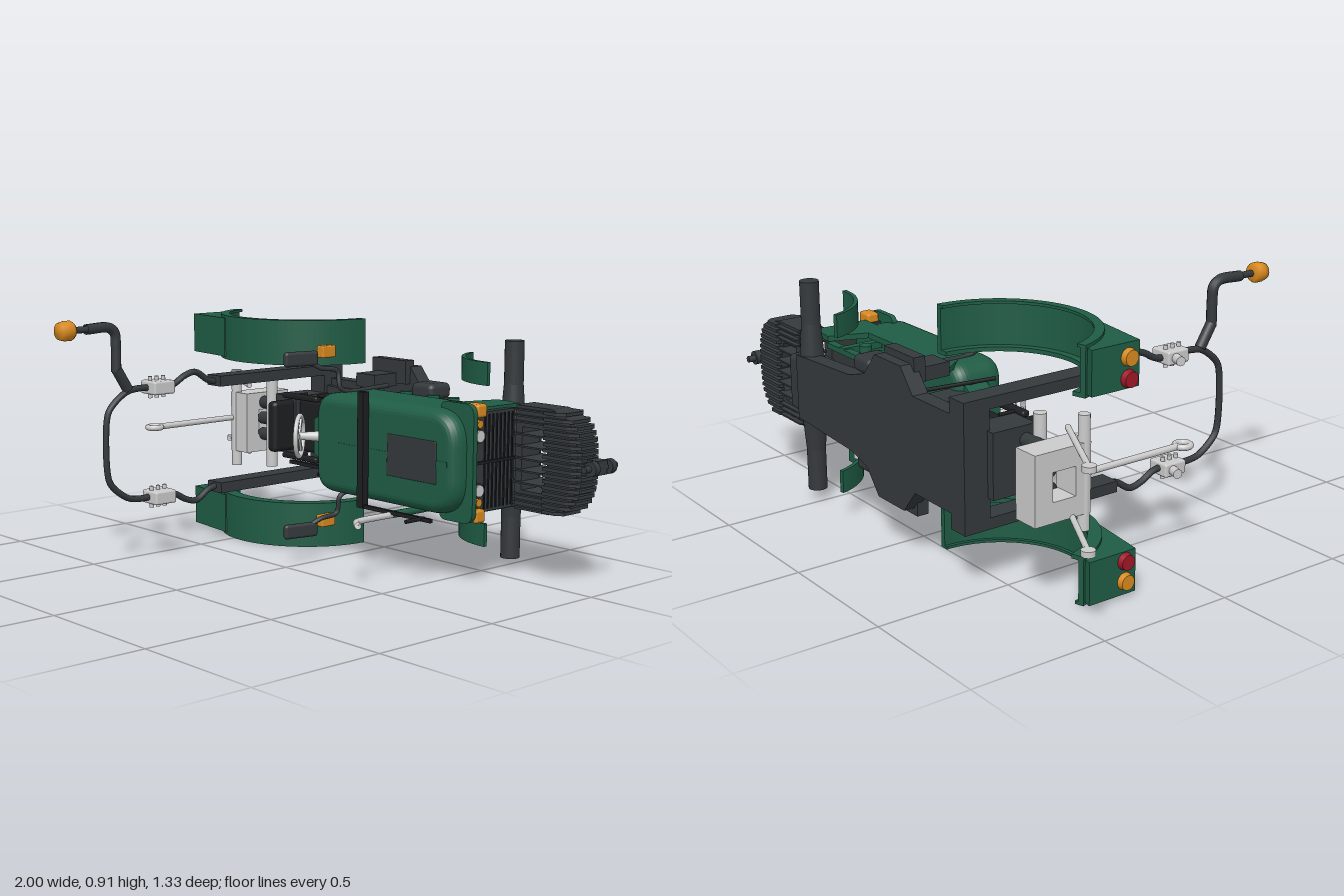
import * as THREE from 'three';
import { RoundedBoxGeometry } from 'three/addons/geometries/RoundedBoxGeometry.js';

const GREEN = 0x1f5c45, DARK = 0x34393c, BLACK = 0x1c1e20, GREY = 0xcccccc, AMBER = 0xd98a1e, RED = 0xa01828;
const MID = 0.435; // lateral centre line (the machine's width runs along y)
const V = (a) => new THREE.Vector3(...a);

export function createModel() {
  const root = new THREE.Group();
  const mats = {};
  const mat = (c) => (mats[c] ??= new THREE.MeshStandardMaterial({ color: c, side: THREE.DoubleSide }));
  const add = (name, color, geo) => {
    const m = new THREE.Mesh(geo, mat(color));
    m.name = name;
    root.add(m);
    return m;
  };
  const box = (name, color, x0, x1, y0, y1, z0, z1, r = 0) => {
    const s = [x1 - x0, y1 - y0, z1 - z0];
    const m = add(name, color, r ? new RoundedBoxGeometry(...s, 2, r) : new THREE.BoxGeometry(...s));
    m.position.set((x0 + x1) / 2, (y0 + y1) / 2, (z0 + z1) / 2);
    return m;
  };
  // cylinder between two points
  const rod = (name, color, a, b, r, r2 = r) => {
    const p = V(a), q = V(b), d = q.clone().sub(p);
    const m = add(name, color, new THREE.CylinderGeometry(r2, r, d.length(), 20));
    m.position.copy(p).add(q).multiplyScalar(0.5);
    m.quaternion.setFromUnitVectors(new THREE.Vector3(0, 1, 0), d.normalize());
    return m;
  };
  const tube = (name, color, pts, r, n = 48) =>
    add(name, color, new THREE.TubeGeometry(new THREE.CatmullRomCurve3(pts.map(V), false, 'centripetal'), n, r, 10));
  const poly = (pts) => new THREE.Shape(pts.map((p) => new THREE.Vector2(...p)));
  const ext = (shape, depth, o = {}) =>
    new THREE.ExtrudeGeometry(shape, { depth, bevelEnabled: false, curveSegments: 24, ...o });
  // plate outlined in x/y, thick along z
  const plate = (name, color, shape, z0, z1) => add(name, color, ext(shape, z1 - z0).translate(0, 0, z0));
  // profile outlined in x/z, thick along y
  const side = (name, color, shape, y0, y1) =>
    add(name, color, ext(shape, y1 - y0).rotateX(Math.PI / 2).translate(0, y1, 0));
  const arc = (cx, cz, r0, r1, a0, a1) => {
    const s = new THREE.Shape();
    s.absarc(cx, cz, r1, a0, a1, false);
    s.absarc(cx, cz, r0, a1, a0, true);
    return s;
  };
  const round = (x0, x1, y0, y1, r, rf) => {
    const s = new THREE.Shape();
    s.moveTo(x0 + r, y0).lineTo(x1 - rf, y0).quadraticCurveTo(x1, y0, x1, y0 + rf);
    s.lineTo(x1, y1 - rf).quadraticCurveTo(x1, y1, x1 - rf, y1).lineTo(x0 + r, y1);
    s.quadraticCurveTo(x0, y1, x0, y1 - r).lineTo(x0, y0 + r).quadraticCurveTo(x0, y0, x0 + r, y0);
    return s;
  };
  const both = (f) => [1, -1].forEach(f);
  // span on one side, measured outward from the centre line
  const span = (s, a, b) => (s > 0 ? [MID + a, MID + b] : [MID - b, MID - a]);

  // chassis tray and cross plate
  const half = [[0.57, 0.12], [0.2, 0.14], [0.1, 0.17], [0.03, 0.255], [-0.13, 0.255], [-0.2, 0.17], [-0.49, 0.17]];
  plate('chassis', DARK, poly([...half.map(([x, w]) => [x, MID - w]), ...half.reverse().map(([x, w]) => [x, MID + w])]), -0.66, -0.6);
  plate('chassisUpper', DARK, poly([[-0.45, 0.29], [0.54, 0.33], [0.54, 0.54], [-0.45, 0.58]]), -0.6, -0.575);
  box('rearCrossPlate', DARK, -0.49, -0.41, 0.215, 0.655, -0.66, -0.56);
  box('transmission', DARK, -0.42, -0.25, 0.33, 0.54, -0.58, -0.46, 0.01);
  box('rearGearbox', DARK, -0.52, -0.4, 0.32, 0.55, -0.57, -0.4);
  both((s) => {
    box('footPlate', DARK, -0.15, 0.03, ...span(s, 0.19, 0.28), -0.62, -0.575);
    box('step', DARK, 0.1, 0.21, ...span(s, 0.15, 0.21), -0.64, -0.53, 0.02);
    box('controlBox', DARK, -0.12, -0.02, ...span(s, 0.18, 0.23), -0.58, -0.46);
    rod('pedal', BLACK, [-0.12, MID + s * 0.15, -0.58], [-0.16, MID + s * 0.15, -0.3], 0.007);
  });

  // seat and side lever
  box('seat', BLACK, -0.41, -0.24, 0.33, 0.54, -0.46, -0.42, 0.018);
  box('seatBack', BLACK, -0.46, -0.41, 0.335, 0.535, -0.45, -0.3, 0.018);
  box('sideLever', BLACK, -0.42, -0.235, 0.283, 0.297, -0.405, -0.385);
  both((s) => {
    box('armrest', BLACK, -0.45, -0.25, ...span(s, 0.108, 0.13), -0.4, -0.37, 0.008);
    for (const x of [-0.4, -0.28]) rod('armrestPost', BLACK, [x, MID + s * 0.12, -0.46], [x, MID + s * 0.12, -0.38], 0.006);
  });

  // front axle
  rod('frontAxle', DARK, [0.537, 0.04, -0.612], [0.537, 0.83, -0.612], 0.035);
  both((s) => rod('axleFlare', DARK, [0.537, MID + s * 0.1, -0.612], [0.537, MID + s * 0.24, -0.612], 0.046, 0.035));
  box('axleHousing', DARK, 0.48, 0.65, 0.33, 0.54, -0.65, -0.54, 0.02);

  // nose weights: blunt D-shaped frame with slats and outer ribs
  const noseX = (d) => 0.75 + 0.185 * Math.cbrt(Math.max(0, 1 - Math.abs(d / 0.188) ** 3));
  const rim = [[0.64, 0.25]];
  for (let i = -12; i <= 12; i++) rim.push([noseX(i * 0.0154) - 0.02, MID + i * 0.0154]);
  rim.push([0.64, 0.62]);
  const D = poly(rim);
  const slot = new THREE.Path();
  slot.moveTo(0.67, 0.32).lineTo(0.67, 0.545).lineTo(0.76, 0.545);
  slot.quadraticCurveTo(0.81, MID, 0.76, 0.32);
  D.holes.push(slot);
  plate('noseWeightFrame', DARK, D, -0.605, -0.51);
  for (let i = -8; i <= 8; i++) {
    const d = i * 0.0215, y = MID + d, x1 = noseX(d);
    if (Math.abs(i) > 5 || i % 2 === 0) box('noseSlat', DARK, 0.63, 0.78, y - 0.003, y + 0.003, -0.625, -0.495);
    side('noseRib', DARK, poly([[0.78, -0.625], [x1 - 0.02, -0.625], [x1, -0.6], [x1, -0.51], [x1 - 0.03, -0.49], [0.78, -0.49]]), y - 0.006, y + 0.006);
  }
  box('noseHitchArm', DARK, 0.92, 0.98, 0.41, 0.46, -0.59, -0.54);
  rod('noseHitchPin', DARK, [0.968, MID, -0.65], [0.968, MID, -0.48], 0.012);
  for (const z of [-0.61, -0.52]) rod('noseHitchLug', DARK, [0.972, MID, z - 0.012], [0.972, MID, z + 0.012], 0.026);

  // bonnet
  const bev = { bevelEnabled: true, bevelThickness: 0.05, bevelSize: 0.04, bevelOffset: -0.04, bevelSegments: 6 };
  const cap = ext(round(-0.08, 0.635, 0.25, 0.62, 0.09, 0.13), 0.09, bev);
  add('bonnet', GREEN, cap.translate(0, 0, -0.345));
  box('bonnetPanel', DARK, 0.31, 0.55, 0.36, 0.51, -0.215, -0.201, 0.004);
  box('bonnetRidge', GREEN, 0.05, 0.6, 0.425, 0.445, -0.22, -0.203);
  plate('bonnetBrow', GREEN, round(0.51, 0.665, 0.227, 0.644, 0.03, 0.045), -0.285, -0.265);
  plate('dashboard', GREEN, poly([[-0.16, 0.37], [-0.16, 0.5], [-0.06, 0.56], [-0.06, 0.31]]), -0.37, -0.28);
  box('dashColumn', DARK, -0.13, -0.02, 0.34, 0.53, -0.6, -0.36);
  box('grille', DARK, 0.59, 0.642, 0.26, 0.61, -0.5, -0.285);
  for (let i = 0; i < 8; i++) box('grilleBar', BLACK, 0.64, 0.646, 0.27, 0.6, -0.49 + i * 0.02, -0.484 + i * 0.02);
  box('grilleSpine', BLACK, 0.64, 0.65, 0.43, 0.44, -0.5, -0.3);

  // bonnet sides, lamps and under-bonnet fittings
  both((s) => {
    const Y = (d) => MID + s * d;
    side('bonnetSide', GREEN, poly([[-0.06, -0.42], [0.0, -0.34], [0.61, -0.34], [0.62, -0.55], [0.51, -0.56], [0.46, -0.42], [0.1, -0.42]]), ...span(s, 0.165, 0.185));
    side('engineRail', GREEN, poly([[0.0, -0.53], [0.52, -0.53], [0.52, -0.56], [0.0, -0.56]]), ...span(s, 0.14, 0.16));
    for (const x of [0.04, 0.19, 0.4]) box('engineStay', GREEN, x, x + 0.03, ...span(s, 0.14, 0.165), -0.56, -0.4);
    for (const x of [0.11, 0.25, 0.35]) rod('engineFitting', GREEN, [x, Y(0.1), -0.5], [x, Y(0.18), -0.5], 0.022);
    rod('headlampRim', DARK, [0.63, Y(0.095), -0.31], [0.652, Y(0.095), -0.31], 0.026);
    rod('headlamp', GREY, [0.63, Y(0.095), -0.31], [0.658, Y(0.095), -0.31], 0.021);
    rod('indicator', AMBER, [0.63, Y(0.137), -0.31], [0.656, Y(0.137), -0.31], 0.014);
    box('cornerLamp', AMBER, 0.6, 0.665, ...span(s, 0.16, 0.207), -0.335, -0.286, 0.01);
  });

  // strap over the bonnet and side rail
  box('bonnetStrap', BLACK, 0.19, 0.22, 0.23, 0.65, -0.2, -0.172);
  box('sideRail', BLACK, 0.2, 0.55, 0.228, 0.242, -0.19, -0.178);
  rod('railPost', BLACK, [0.5, 0.235, -0.2], [0.5, 0.235, -0.11], 0.007);

  // exhaust
  tube('exhaustLower', GREEN, [[0.36, 0.23, -0.49], [0.36, 0.228, -0.3], [0.35, 0.226, -0.19]], 0.013);
  tube('exhaustPipe', GREY, [[0.35, 0.225, -0.2], [0.35, 0.225, -0.05], [0.36, 0.225, -0.01], [0.41, 0.225, 0.03]], 0.012);
  rod('exhaustMuffler', GREY, [0.37, 0.19, -0.53], [0.37, 0.26, -0.53], 0.02);

  // steering wheel
  const wheel = new THREE.Group();
  wheel.name = 'steeringWheel';
  wheel.add(new THREE.Mesh(new THREE.TorusGeometry(0.077, 0.009, 10, 36), mat(GREY)));
  for (let i = 0; i < 3; i++) {
    const spoke = new THREE.Mesh(new THREE.BoxGeometry(0.077, 0.014, 0.008).translate(0.038, 0, 0), mat(GREY));
    spoke.rotation.z = (i * Math.PI * 2) / 3;
    wheel.add(spoke);
  }
  wheel.position.set(-0.175, 0.44, -0.22);
  wheel.rotation.y = -0.92;
  root.add(wheel);
  rod('steeringColumn', GREY, [-0.175, 0.44, -0.22], [-0.06, 0.44, -0.33], 0.014, 0.026);

  both((s) => {
    const Y = (d) => MID + s * d;
    // rear mudguard with inner flange, lamp housing and lamps
    side('rearFender', GREEN, arc(-0.45, -0.5, 0.318, 0.338, 0, 2.85), ...span(s, 0.265, 0.435));
    side('fenderFlange', GREEN, arc(-0.45, -0.5, 0.29, 0.336, 0, 2.85), ...span(s, 0.265, 0.28));
    side('fenderLip', GREEN, arc(-0.45, -0.5, 0.305, 0.336, 0, 2.85), ...span(s, 0.425, 0.435));
    side('lampHousing', GREEN, poly([[-0.8, -0.4], [-0.75, -0.39], [-0.69, -0.28], [-0.56, -0.19], [-0.57, -0.18], [-0.8, -0.21]]), ...span(s, 0.275, 0.425));
    rod('tailLamp', RED, [-0.79, Y(0.308), -0.255], [-0.82, Y(0.308), -0.255], 0.032, 0.026);
    rod('rearIndicator', AMBER, [-0.79, Y(0.378), -0.255], [-0.82, Y(0.378), -0.255], 0.032, 0.026);
    box('fenderMarker', AMBER, -0.145, -0.108, ...span(s, 0.3, 0.345), -0.345, -0.278, 0.006);
    // front mudguard
    side('frontFender', GREEN, arc(0.55, -0.72, 0.255, 0.27, 1.55, 2.87), ...span(s, 0.247, 0.33));
    // mirror, its glass and its arm
    const mirror = box('mirror', DARK, -0.045, -0.02, ...span(s, 0.29, 0.345), -0.17, -0.03, 0.012);
    mirror.rotation.y = -0.2;
    const glass = new THREE.Mesh(new THREE.BoxGeometry(0.004, 0.04, 0.115), mat(GREY));
    glass.name = 'mirrorGlass';
    glass.position.x = -0.012;
    mirror.add(glass);
    tube('mirrorArm', DARK, [[-0.03, Y(0.31), -0.13], [-0.01, Y(0.28), -0.18], [0.0, Y(0.265), -0.25], [0.01, Y(0.2), -0.26], [0.01, Y(0.19), -0.5]], 0.009);
    // roll bar post and clamp
    box('rollBarPost', DARK, -0.49, -0.41, ...span(s, 0.185, 0.225), -0.66, -0.03);
    box('rollBarClamp', GREY, -0.49, -0.4, ...span(s, 0.18, 0.23), 0.19, 0.285, 0.008);
    rod('clampKnob', GREY, [-0.53, Y(0.205), 0.21], [-0.48, Y(0.205), 0.225], 0.017);
    for (const z of [0.21, 0.24, 0.27]) rod('clampBolt', GREY, [-0.45, Y(0.165), z], [-0.45, Y(0.245), z], 0.008);
    // lower lift arm
    rod('liftArm', GREY, [-0.66, Y(0.135), -0.38], [-0.97, Y(0.135), -0.545], 0.01);
    rod('liftArmEye', GREY, [-0.977, Y(0.125), -0.55], [-0.977, Y(0.145), -0.55], 0.023);
  });

  // roll bar hoop
  const leg = [[0.2, -0.04], [0.21, 0], [0.245, 0.06], [0.235, 0.11], [0.205, 0.17], [0.205, 0.33], [0.195, 0.38], [0.14, 0.45], [0.1, 0.465]];
  const hoop = [...leg.map(([d, z]) => [-0.45, MID + d, z]), ...leg.slice().reverse().map(([d, z]) => [-0.45, MID - d, z])];
  tube('rollBarHoop', DARK, hoop, 0.012, 120);

  // beacon on its bracket
  rod('beaconFoot', DARK, [-0.45, 0.64, 0.37], [-0.45, 0.72, 0.42], 0.02);
  tube('beaconPost', DARK, [[-0.45, 0.71, 0.42], [-0.45, 0.8, 0.42], [-0.45, 0.85, 0.425], [-0.45, 0.87, 0.45], [-0.45, 0.87, 0.55]], 0.019);
  rod('beaconStem', DARK, [-0.45, 0.87, 0.54], [-0.45, 0.87, 0.62], 0.012);
  const lens = [[0, 0], [0.028, 0], [0.036, 0.012], [0.036, 0.035], [0.03, 0.058], [0, 0.06]].map((p) => new THREE.Vector2(...p));
  add('beaconLens', AMBER, new THREE.LatheGeometry(lens, 24).rotateX(Math.PI / 2).translate(-0.45, 0.87, 0.605));

  // rear hitch: windowed frame, cross bars and top link
  const frame = poly([[0, 0.3], [0, 0.54], [0.22, 0.54], [0.22, 0.3]]);
  frame.holes.push(new THREE.Path([[0.07, 0.37], [0.16, 0.37], [0.16, 0.47], [0.07, 0.47]].map((p) => new THREE.Vector2(...p))));
  const hitch = add('hitchFrame', GREY, ext(frame, 0.1));
  hitch.rotation.y = -Math.PI / 2;
  hitch.position.set(-0.64, 0, -0.57);
  rod('hitchCrossBar', GREY, [-0.723, 0.24, -0.365], [-0.723, 0.63, -0.365], 0.02);
  rod('liftShaft', GREY, [-0.562, 0.25, -0.415], [-0.562, 0.6, -0.415], 0.022);
  for (const y of [0.37, MID, 0.5]) rod('hitchStrut', DARK, [-0.65, y, -0.44], [-0.48, y, -0.44], 0.025);
  rod('topLink', GREY, [-0.73, MID, -0.36], [-0.73, MID, 0.02], 0.011, 0.012);
  const eye = add('topLinkEye', GREY, new THREE.TorusGeometry(0.026, 0.011, 10, 28));
  eye.rotation.x = Math.PI / 2;
  eye.position.set(-0.73, MID, 0.045);
  return root;
}
